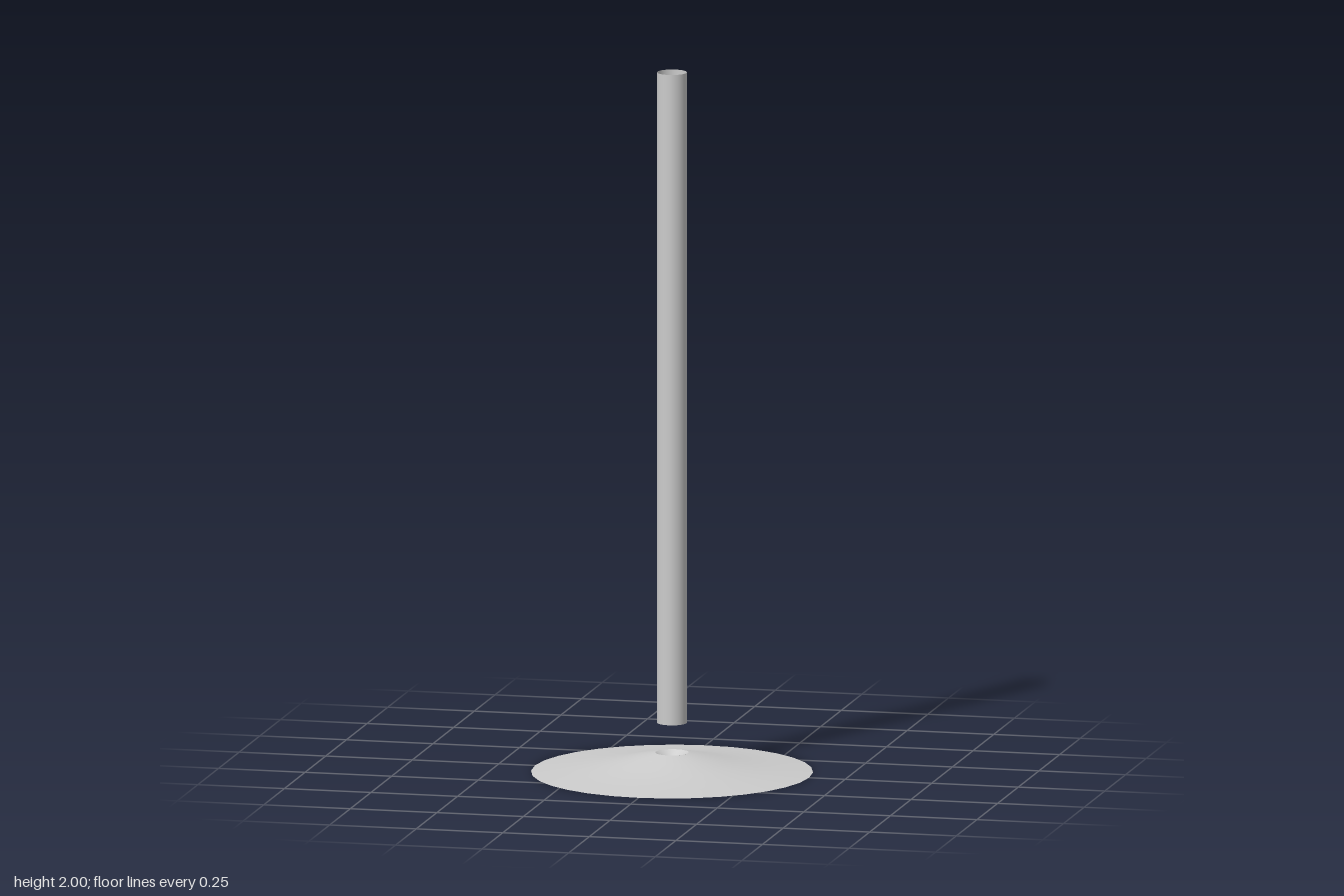
import * as THREE from 'three';

export function createModel() {
  const group = new THREE.Group();
  const material = new THREE.MeshStandardMaterial({ color: 0xcccccc, side: THREE.DoubleSide });
  const segments = 32;

  const lathe = (name, points) => {
    const profile = points.map(([r, y]) => new THREE.Vector2(r, y));
    const mesh = new THREE.Mesh(new THREE.LatheGeometry(profile, segments), material);
    mesh.name = name;
    group.add(mesh);
    return mesh;
  };

  // Thin flared base shell, slightly oval
  const base = lathe('base', [
    [0.404, 0], [0.32, 0.008], [0.24, 0.017], [0.16, 0.031], [0.1, 0.045], [0.048, 0.055],
  ]);
  base.scale.x = 0.98;

  // Shallow funnel sunk into the middle of the base
  lathe('socket', [[0.048, 0.055], [0, 0.022]]);

  // Open tube floating above the base
  const pole = new THREE.Mesh(
    new THREE.CylinderGeometry(0.042, 0.042, 1.86, segments, 1, true), material);
  pole.name = 'pole';
  pole.position.y = 1.07;
  group.add(pole);

  return group;
}
